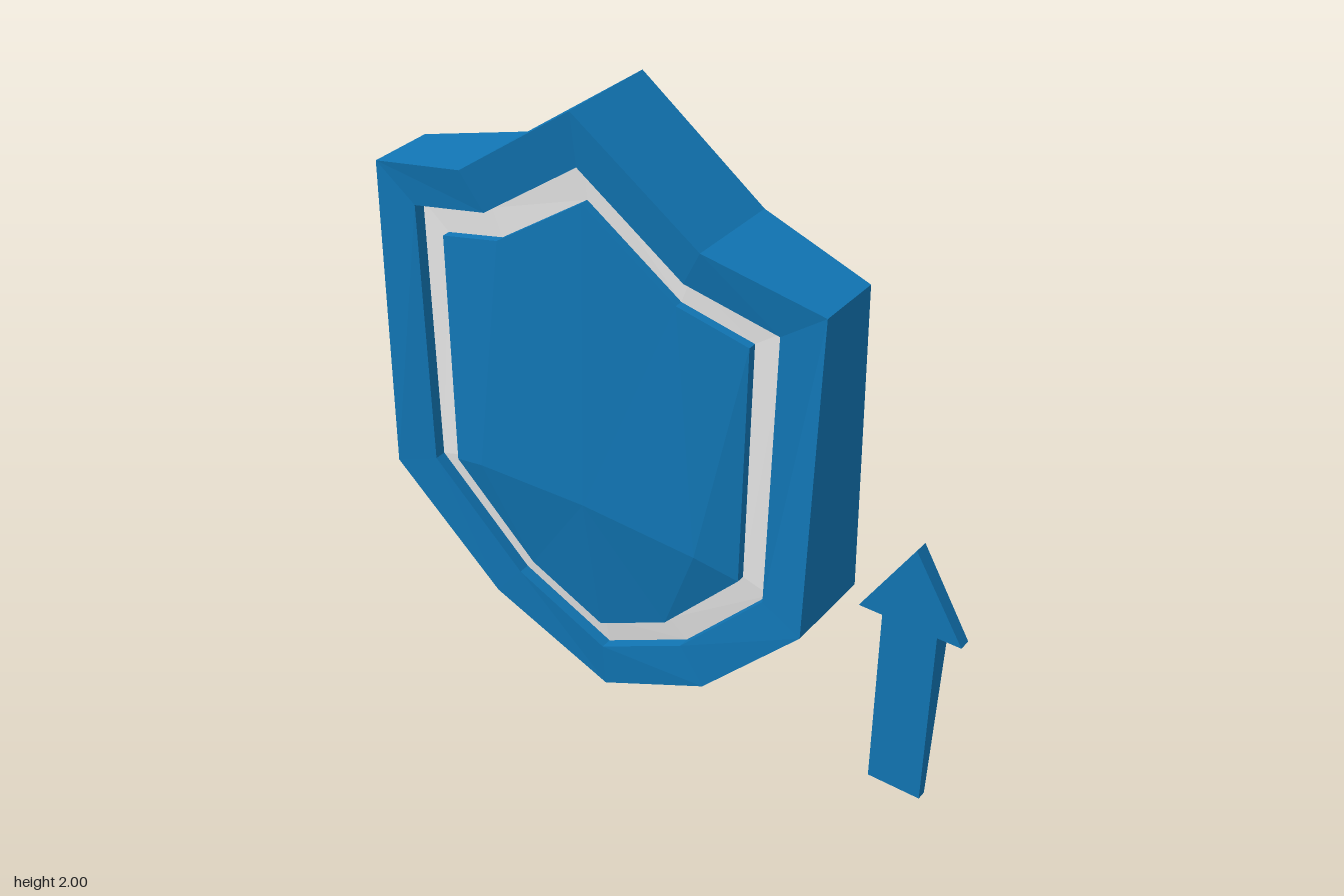
import * as THREE from 'three';

const CX = -0.217; // shield centre line

// Flat shaded mesh from a list of triangles
function facets(name, tris, material) {
  const g = new THREE.BufferGeometry();
  g.setAttribute('position', new THREE.Float32BufferAttribute(tris.flat(2), 3));
  g.computeVertexNormals();
  const m = new THREE.Mesh(g, material);
  m.name = name;
  return m;
}

// Shield corner: offset from the centre line, height, half thickness; side is 1 front, -1 back
const corner = ([dx, y, h], side) => [CX + dx, y, side * h - 0.038 * dx];

// Complete a right half outline (top to bottom) into a clockwise ring
const ring = half => [...half, ...half.slice(1, -1).reverse().map(([x, y, h]) => [-x, y, h])];
const lower = (half, d) => half.map(([x, y, h]) => [x, y, h - d]);

// Band of facets between two rings
function band(a, b, flip = false) {
  const tris = [];
  a.forEach((p, i) => {
    const j = (i + 1) % a.length;
    const t = [[p, b[i], b[j]], [p, b[j], a[j]]];
    tris.push(...(flip ? t.map(([u, v, w]) => [u, w, v]) : t));
  });
  return tris;
}

export function createModel() {
  const blue = new THREE.MeshStandardMaterial({ color: 0x1176b5, flatShading: true });
  blue.name = 'blue';
  const white = new THREE.MeshStandardMaterial({ color: 0xe7e7e7, flatShading: true });
  white.name = 'white';
  const group = new THREE.Group();
  group.name = 'shieldWithArrow';

  // Half outlines: rim outside, rim inside, centre panel
  const outer = [[0, 2, .15], [.387, 1.717, .142], [.732, 1.628, .10], [.727, .61, .142], [.387, .22, .11], [0, 0, .075]];
  const inner = [[0, 1.835, .13], [.325, 1.6, .125], [.6, 1.527, .10], [.59, .66, .12], [.3, .33, .10], [0, .16, .085]];
  const panel = [[0, 1.725, .115], [.295, 1.518, .115], [.508, 1.457, .095], [.505, .69, .115], [.245, .395, .10], [0, .26, .09]];
  const shield = new THREE.Group();
  shield.name = 'shield';
  group.add(shield);

  // Outside edge joins the two faces
  const place = (half, side) => ring(half).map(c => corner(c, side));
  shield.add(facets('outerEdge', band(place(outer, -1), place(outer, 1)), blue));

  for (const side of [1, -1]) {
    const flip = side < 0;
    const label = flip ? 'back' : 'front';
    const rimIn = place(inner, side);
    const grooveOut = place(lower(inner, .035), side);
    const grooveIn = place(lower(panel, .025), side);
    const edge = place(panel, side);

    // Raised rim and the recessed white inlay
    shield.add(facets(label + 'Rim', [...band(place(outer, side), rimIn, flip), ...band(rimIn, grooveOut, flip)], blue));
    shield.add(facets(label + 'Inlay', band(grooveOut, grooveIn, flip), white));

    // Bulging centre panel, creased below the middle
    const tris = band(grooveIn, edge, flip);
    for (const s of [1, -1]) {
      const [t, a, b, c, d, e] = panel.map(([x, y, h]) => corner([s * x, y, h], side));
      const mid = corner([0, .76, .155], side);
      const cheek = corner([s * .38, .74, .15], side);
      const half = [[t, mid, a], [a, mid, cheek], [a, cheek, b], [b, cheek, c], [c, cheek, d], [cheek, mid, d], [mid, e, d]];
      tris.push(...(s * side > 0 ? half : half.map(([u, v, w]) => [u, w, v])));
    }
    shield.add(facets(label + 'Panel', tris, blue));
  }

  // Arrow: clockwise outline with a back depth for each corner
  const outline = [[.793, 1, -.02], [.947, .74, -.02], [.875, .74, -.045], [.875, .127, -.01],
    [.71, .127, -.015], [.71, .74, -.06], [.639, .74, 0]];
  const front = outline.map(([x, y]) => [x, y, .022 - .04 * (x - .795)]);
  const ridge = [.793, .74, -.06];
  const arrow = band(outline, front);
  for (const [i, j, k] of [[0, 6, 5], [0, 5, 2], [0, 2, 1], [5, 4, 3], [5, 3, 2]]) {
    arrow.push([front[i], front[j], front[k]]);
  }
  const [tip, headR, shoulderR, footR, footL, shoulderL, headL] = outline;
  arrow.push([tip, shoulderL, headL], [tip, ridge, shoulderL], [tip, shoulderR, ridge], [tip, headR, shoulderR],
    [shoulderL, ridge, footL], [ridge, footR, footL], [ridge, shoulderR, footR]);
  group.add(facets('arrow', arrow, blue));

  return group;
}
